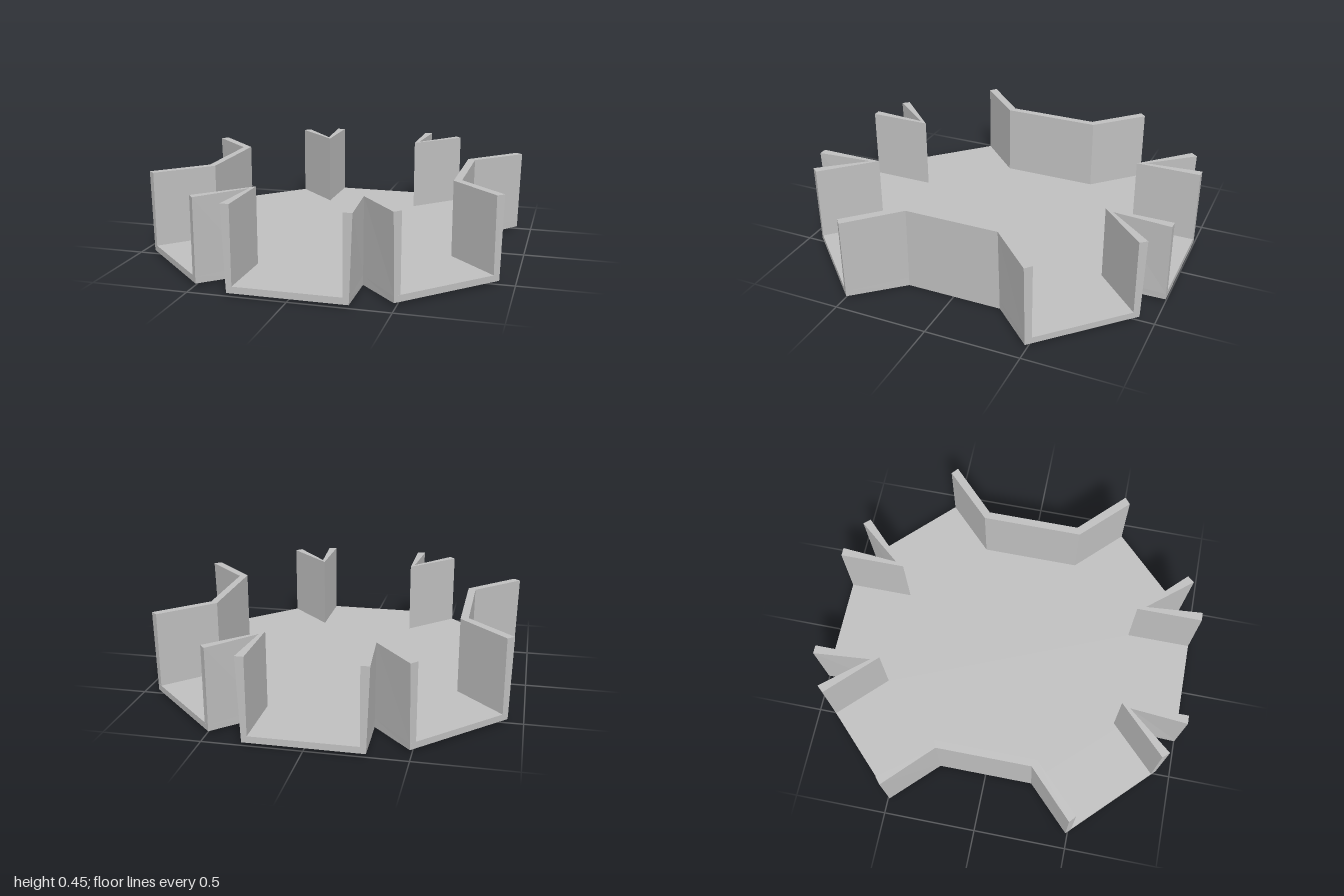
import * as THREE from 'three';

const FLOOR = 0.05, TOP = 0.45;

// Quarter outline of the outer faces as [x, z], at the foot and at the rim
const FOOT = [[0.298, 1], [0.284, 0.68], [0.49, 0.92], [0.92, 0.49], [0.685, 0.257]];
const RIM = [[0.315, 1], [0.29, 0.695], [0.485, 0.93], [0.93, 0.485], [0.69, 0.25]];
// Quarter outline of the inner wall faces
const INNER = [[0.27, 1], [0.27, 0.65], [0.515, 0.895], [0.895, 0.515], [0.65, 0.27]];

const flip = (points, sx, sz) => points.map(([x, z]) => [x * sx, z * sz]);

// Outer outline at height y, following the slight outward lean
function outerAt(y) {
  const t = y / TOP;
  return FOOT.map(([x, z], i) => [x + (RIM[i][0] - x) * t, z + (RIM[i][1] - z) * t]);
}

// Whole ring from a quarter outline
function fullRing(quarter) {
  const back = [...quarter].reverse();
  return [...quarter, ...flip(back, 1, -1), ...flip(quarter, -1, -1), ...flip(back, -1, 1)];
}

// Closed solid between two matching rings of [x, z]
function solid(lower, upper, lowY, highY) {
  let a = lower.map(([x, z]) => new THREE.Vector2(x, z));
  let b = upper.map(([x, z]) => new THREE.Vector2(x, z));
  if (THREE.ShapeUtils.isClockWise(a)) {
    a.reverse();
    b.reverse();
  }
  const low = a.map((p) => new THREE.Vector3(p.x, lowY(p.length()), p.y));
  const high = b.map((p) => new THREE.Vector3(p.x, highY, p.y));
  const verts = [];
  const tri = (...points) => points.forEach((p) => verts.push(p.x, p.y, p.z));
  for (const [i, j, k] of THREE.ShapeUtils.triangulateShape(a, [])) {
    tri(low[i], low[j], low[k]);
  }
  for (const [i, j, k] of THREE.ShapeUtils.triangulateShape(b, [])) {
    tri(high[i], high[k], high[j]);
  }
  for (let i = 0; i < low.length; i++) {
    const j = (i + 1) % low.length;
    tri(low[i], high[i], high[j]);
    tri(low[i], high[j], low[j]);
  }
  const geometry = new THREE.BufferGeometry();
  geometry.setAttribute('position', new THREE.Float32BufferAttribute(verts, 3));
  geometry.computeVertexNormals();
  return geometry;
}

export function createModel() {
  const group = new THREE.Group();
  group.name = 'sixWayChannelJunction';
  const grey = new THREE.MeshStandardMaterial({ color: 0xc0c0c0 });
  grey.name = 'grey';

  const add = (name, geometry) => {
    const mesh = new THREE.Mesh(geometry, grey);
    mesh.name = name;
    group.add(mesh);
  };

  // Floor plate, its underside rising slightly toward the channel mouths
  const underside = (r) => 0.016 * THREE.MathUtils.clamp((r - 0.74) / 0.3, 0, 1);
  add('floor', solid(fullRing(outerAt(0)), fullRing(outerAt(FLOOR)), underside, FLOOR));

  const foot = outerAt(FLOOR), rim = outerAt(TOP);
  const wall = (lower, upper) => solid(lower, upper, () => FLOOR, TOP);

  // V-shaped walls between the straight and diagonal channels
  const vWall = (outer) => [...outer.slice(0, 3), ...INNER.slice(0, 3).reverse()];
  for (const sx of [1, -1]) {
    for (const sz of [1, -1]) {
      const name = (sz > 0 ? 'front' : 'back') + (sx > 0 ? 'Left' : 'Right') + 'Wall';
      add(name, wall(flip(vWall(foot), sx, sz), flip(vWall(rim), sx, sz)));
    }
  }

  // Long side walls joining the diagonal channels
  const sideWall = (outer) => {
    const out = outer.slice(3), inn = INNER.slice(3);
    return [...out, ...flip([...out].reverse(), 1, -1), ...flip(inn, 1, -1), ...[...inn].reverse()];
  };
  for (const sx of [1, -1]) {
    add(sx > 0 ? 'leftSideWall' : 'rightSideWall',
      wall(flip(sideWall(foot), sx, 1), flip(sideWall(rim), sx, 1)));
  }
  return group;
}
